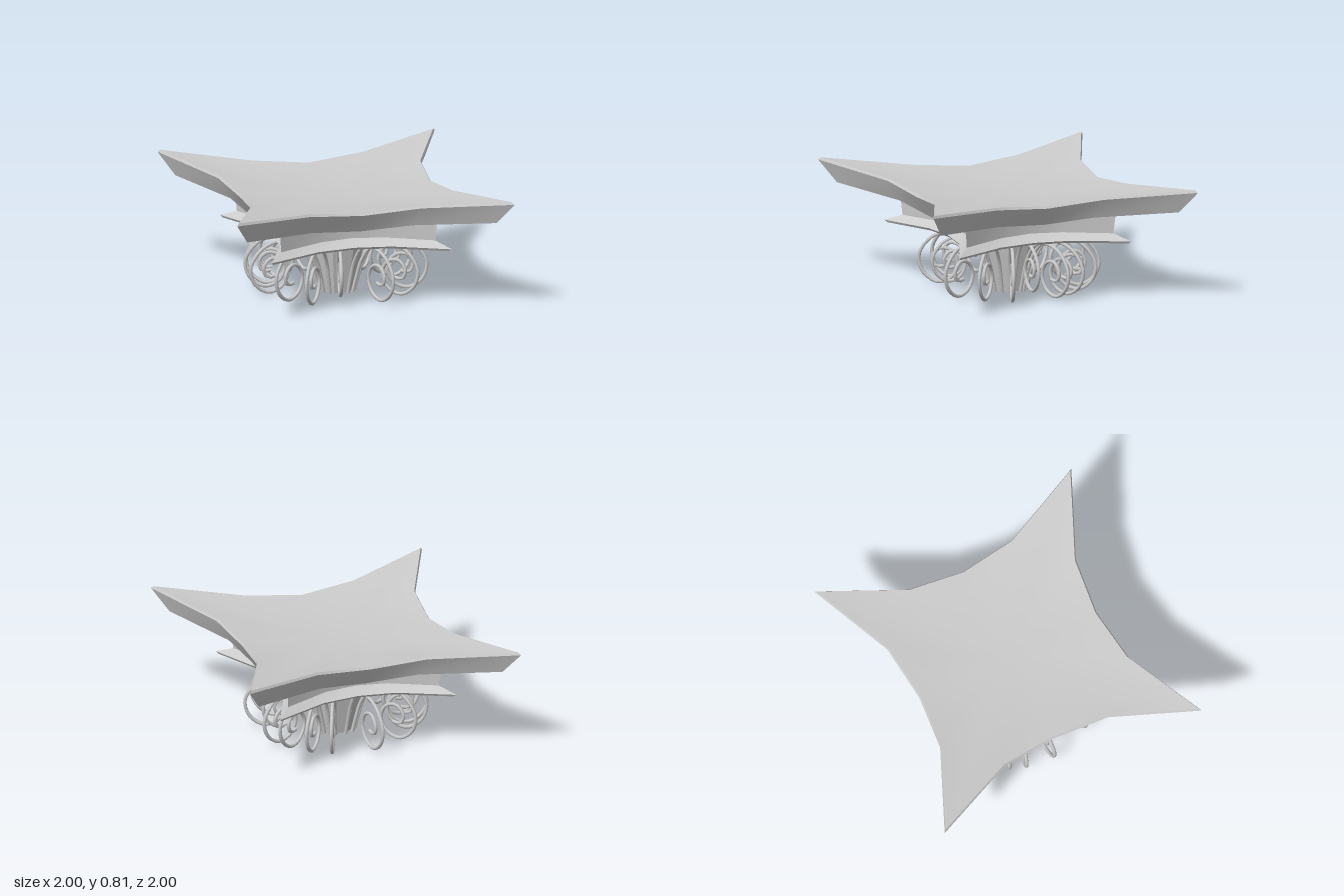
import * as THREE from 'three';
import { toCreasedNormals } from 'three/addons/utils/BufferGeometryUtils.js';

const material = new THREE.MeshStandardMaterial({ color: 0xcccccc });
const flatMaterial = new THREE.MeshStandardMaterial({ color: 0xcccccc, flatShading: true });

// Four-pointed outline: c = corner reach, m = reach at mid side, yc / ym = heights there
function starRing({ c, m, yc, ym }) {
  const side = [
    [c, -c, yc],
    [m + (c - m) * 0.14, -0.405 * c, ym + 0.4 * (yc - ym)],
    [m, 0, ym],
    [m + (c - m) * 0.14, 0.405 * c, ym + 0.4 * (yc - ym)],
  ];
  const ring = [];
  for (let k = 0; k < 4; k++) {
    const cos = Math.round(Math.cos(k * Math.PI / 2)), sin = Math.round(Math.sin(k * Math.PI / 2));
    for (const [x, z, y] of side) ring.push([x * cos - z * sin, y, x * sin + z * cos]);
  }
  return ring;
}

// Skin the outlines in order and close both ends with a fan
function loftStar(name, sections) {
  const rings = sections.map(starRing), n = 16;
  const pos = rings.flat(2), index = [];
  for (let i = 0; i < rings.length - 1; i++) {
    for (let j = 0; j < n; j++) {
      const a = i * n + j, b = i * n + (j + 1) % n;
      index.push(a, a + n, b, b, a + n, b + n);
    }
  }
  const first = rings.length * n, last = first + 1, top = (rings.length - 1) * n;
  pos.push(0, sections[0].ym, 0, 0, sections.at(-1).ym, 0);
  for (let j = 0; j < n; j++) {
    const k = (j + 1) % n;
    index.push(first, j, k, last, top + k, top + j);
  }
  const geo = new THREE.BufferGeometry();
  geo.setAttribute('position', new THREE.Float32BufferAttribute(pos, 3));
  geo.setIndex(index);
  const mesh = new THREE.Mesh(toCreasedNormals(geo, 0.55), material);
  mesh.name = name;
  return mesh;
}

export function createModel() {
  const group = new THREE.Group();
  group.name = 'columnCapital';

  // Top slab with raised, pointed corners and a shallow dish
  group.add(loftStar('topSlab', [
    { c: 0.56, m: 0.39, yc: 0.615, ym: 0.59 },
    { c: 0.9, m: 0.62, yc: 0.645, ym: 0.58 },
    { c: 1.0, m: 0.69, yc: 0.795, ym: 0.71 },
    { c: 0.985, m: 0.68, yc: 0.812, ym: 0.725 },
    { c: 0.74, m: 0.53, yc: 0.765, ym: 0.712 },
    { c: 0.4, m: 0.3, yc: 0.715, ym: 0.702 },
  ]));

  // Neck and the thin flared ledge below it
  group.add(loftStar('neck', [
    { c: 0.555, m: 0.39, yc: 0.45, ym: 0.46 },
    { c: 0.57, m: 0.4, yc: 0.63, ym: 0.6 },
  ]));
  group.add(loftStar('ledge', [
    { c: 0.635, m: 0.44, yc: 0.392, ym: 0.4 },
    { c: 0.65, m: 0.455, yc: 0.408, ym: 0.417 },
    { c: 0.555, m: 0.39, yc: 0.455, ym: 0.47 },
  ]));

  // Eight-sided tapering core
  const core = new THREE.Mesh(new THREE.CylinderGeometry(0.215, 0.115, 0.4, 8), flatMaterial);
  core.name = 'core';
  core.rotation.y = Math.PI / 8;
  core.position.y = 0.2;
  group.add(core);

  // Scrolls: a stem up the core that arches over and spirals inward
  const path = [
    [0.13, 0.0], [0.155, 0.1], [0.2, 0.24], [0.28, 0.35], [0.4, 0.385], [0.54, 0.34],
    [0.63, 0.21], [0.6, 0.09], [0.5, 0.025], [0.4, 0.06], [0.355, 0.16], [0.4, 0.25],
    [0.48, 0.265], [0.535, 0.2], [0.51, 0.135], [0.45, 0.14],
  ].map(([r, y]) => new THREE.Vector3(r, y, 0));
  const scroll = new THREE.TubeGeometry(new THREE.CatmullRomCurve3(path), 48, 0.013, 6);
  const scrolls = new THREE.Group();
  scrolls.name = 'scrolls';
  const addScroll = (name, angle, reach, height) => {
    const mesh = new THREE.Mesh(scroll, material);
    mesh.name = name;
    mesh.rotation.y = -THREE.MathUtils.degToRad(angle);
    mesh.scale.set(reach, height, 1);
    mesh.position.y = 0.398 * (1 - height);
    scrolls.add(mesh);
  };
  for (const angle of [20, 42, 67, 125, 147, 176, 195, 206, 229, 259, 293, 309, 328, 342]) {
    addScroll('largeScroll', angle, 1, 1);
  }
  for (const angle of [0, 102]) addScroll('smallScroll', angle, 0.85, 0.88);
  group.add(scrolls);
  return group;
}
